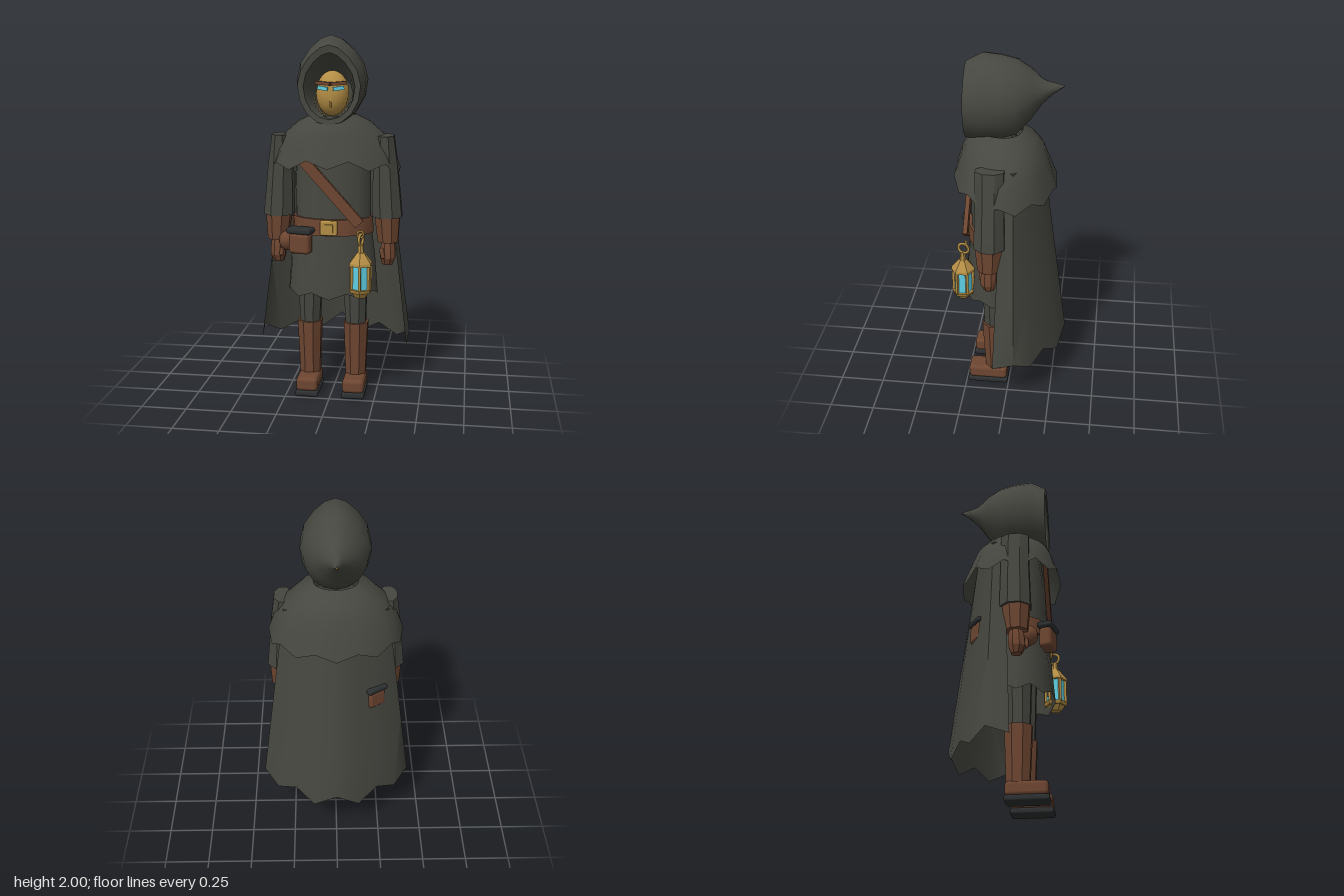
import * as THREE from 'three';
import { toCreasedNormals } from 'three/addons/utils/BufferGeometryUtils.js';
import { RoundedBoxGeometry } from 'three/addons/geometries/RoundedBoxGeometry.js';

const mat = (name, color, side = THREE.FrontSide) => {
  const m = new THREE.MeshStandardMaterial({ color, side });
  m.name = name;
  return m;
};

// Surface through rings of points; rings run top to bottom (or back to front)
function loft(rings, { closed = true, capTop = false, capEnd = false, crease = 0.9 } = {}) {
  const n = rings[0].length, pos = rings.flat(2), idx = [];
  const cols = closed ? n : n - 1;
  for (let r = 0; r < rings.length - 1; r++) {
    for (let i = 0; i < cols; i++) {
      const j = (i + 1) % n;
      const a = r * n + i, b = r * n + j, c = a + n, d = b + n;
      idx.push(a, c, b, b, c, d);
    }
  }
  const cap = (r, flip) => {
    const c = pos.length / 3;
    for (let k = 0; k < 3; k++) pos.push(rings[r].reduce((s, p) => s + p[k], 0) / n);
    for (let i = 0; i < n; i++) {
      const a = r * n + i, b = r * n + (i + 1) % n;
      idx.push(c, flip ? b : a, flip ? a : b);
    }
  };
  if (capTop) cap(0, false);
  if (capEnd) cap(rings.length - 1, true);
  const g = new THREE.BufferGeometry();
  g.setAttribute('position', new THREE.Float32BufferAttribute(pos, 3));
  g.setIndex(idx);
  return toCreasedNormals(g, crease);
}

// Horizontal oval: height, half width, front z, back z, centre x
function oval([y, rx, zf, zb, cx = 0], n, mid = (zf + zb) / 2, lift = () => 0, turn = 0) {
  return Array.from({ length: n }, (_, i) => {
    const a = ((i + turn) / n) * Math.PI * 2, c = Math.cos(a);
    return [cx + rx * Math.sin(a), y + lift(i, c), mid + c * (c > 0 ? zf - mid : mid - zb)];
  });
}

export function createModel() {
  const cloth = mat('charcoal cloth', 0x464740, THREE.DoubleSide);
  const leather = mat('brown leather', 0x6e4631);
  const gold = mat('brass', 0xb48e45);
  const glow = mat('cyan glow', 0x5fcfe4);
  const dark = mat('dark rubber', 0x2d3031);
  const model = new THREE.Group();
  const add = (name, geo, material, p = [0, 0, 0], r = [0, 0, 0], parent = model) => {
    const m = new THREE.Mesh(geo, material);
    m.name = name;
    m.position.set(...p);
    m.rotation.set(...r);
    parent.add(m);
    return m;
  };
  const box = (x, y, z) => new THREE.BoxGeometry(x, y, z);
  const soft = (x, y, z, r = 0.015) => new RoundedBoxGeometry(x, y, z, 2, r);

  // Hood: teardrop rings from the back tip to the rim, then folded inward
  const hoodRows = [
    [-0.275, 0.003, 1.837, 1.828], [-0.215, 0.03, 1.85, 1.785], [-0.165, 0.062, 1.865, 1.735],
    [-0.1, 0.125, 1.925, 1.64], [-0.03, 0.17, 1.97, 1.56], [0.05, 0.188, 1.99, 1.535],
    [0.15, 0.187, 2.0, 1.525], [0.24, 0.168, 1.95, 1.53], [0.235, 0.138, 1.91, 1.56],
    [0.16, 0.122, 1.865, 1.565], [0.02, 0.1, 1.8, 1.58],
  ];
  const teardrop = ([z, w, top, bottom]) => Array.from({ length: 16 }, (_, i) => {
    const a = (i / 16) * Math.PI * 2, c = Math.cos(a);
    return [w * Math.sin(a) * (1 - 0.28 * Math.max(0, c) ** 2),
      (top + bottom) / 2 + (top - bottom) / 2 * c, z];
  });
  add('hood', loft(hoodRows.map(teardrop), { capEnd: true }), cloth);

  // Mask with nose ridge, brow, eyes and a studded chin
  const mask = new THREE.Group();
  mask.name = 'mask';
  mask.position.set(0, 1.69, 0.1);
  model.add(mask);
  add('maskFace', new THREE.SphereGeometry(1, 20, 14).scale(0.09, 0.122, 0.085), gold, [0, 0, 0], [0, 0, 0], mask);
  add('noseRidge', box(0.008, 0.1, 0.02), gold, [0, -0.02, 0.078], [0, 0, 0], mask);
  for (const s of [-1, 1]) {
    add('brow', box(0.086, 0.018, 0.022), leather, [s * 0.041, 0.057, 0.071], [0, s * 0.35, s * 0.06], mask);
    add('eye', box(0.06, 0.02, 0.009), glow, [s * 0.043, 0.031, 0.077], [0, s * 0.38, s * 0.12], mask);
  }
  for (let i = 0; i < 15; i++) {
    const a = (i / 14 - 0.5) * 2.7;
    add('chinStud', new THREE.SphereGeometry(0.006, 6, 4), gold,
      [Math.sin(a) * 0.094, -Math.cos(a) * 0.121, 0.045], [0, 0, 0], mask);
  }

  // Shoulder mantle with a ragged hem, higher at the front
  const mantleRows = [
    [1.575, 0.12, 0.19, -0.06], [1.535, 0.2, 0.24, -0.13], [1.47, 0.275, 0.27, -0.178],
    [1.39, 0.33, 0.293, -0.207], [1.265, 0.368, 0.315, -0.25],
  ];
  add('mantle', loft(mantleRows.map((r, k) => oval(r, 20, 0.03,
    (i, c) => k === 4 ? (c > 0 ? c * 0.065 : 0) + (i % 2 ? 0.02 : -0.025) : 0))), cloth);

  // Long open cloak: one side's hem points and hem heights, mirrored about the back
  const half = [[0.415, 0.065, 0.28], [0.425, -0.055, 0.32], [0.345, -0.145, 0.26],
    [0.235, -0.21, 0.31], [0.13, -0.28, 0.24]];
  const hem = [...half, [0, -0.318, 0.33], ...half.map(([x, z, y]) => [-x, z, y]).reverse()];
  const cloakRings = [0, 0.33, 0.66, 1].map(t => hem.map(([x, z, y]) => [
    x * (0.66 + 0.34 * t), 1.45 + (y - 1.45) * t, z * (0.5 + 0.5 * t) - 0.012 * (1 - t)]));
  add('cloak', loft(cloakRings, { closed: false }), cloth);

  // Tunic
  const tunicRows = [[1.46, 0.19, 0.2, -0.04], [1.25, 0.21, 0.225, -0.05], [1, 0.21, 0.225, -0.05],
    [0.8, 0.235, 0.25, -0.06], [0.59, 0.252, 0.268, -0.07]];
  add('tunic', loft(tunicRows.map((r, k) => oval(r, 16, 0.08,
    i => k === 4 ? (i % 2 ? 0.022 : -0.012) : 0))), cloth);

  // Belt, buckle and chest strap
  add('belt', loft([[1.02, 0.222, 0.24, -0.06], [0.93, 0.226, 0.243, -0.063]].map(r => oval(r, 16, 0.08)),
    { capTop: true, capEnd: true }), leather);
  add('buckle', soft(0.092, 0.08, 0.03, 0.008), gold, [0, 0.978, 0.25]);
  add('bucklePlate', box(0.05, 0.045, 0.008), gold, [0, 0.978, 0.267]);
  add('chestStrap', box(0.058, 0.48, 0.025), leather, [0.005, 1.18, 0.238], [0, 0, 0.73]);

  // Belt pouches: body with a dark flap
  const pouch = (name, p, ry, s) => {
    const g = new THREE.Group();
    g.name = name;
    g.position.set(...p);
    g.rotation.y = ry;
    g.scale.setScalar(s);
    model.add(g);
    add('pouchBody', soft(0.12, 0.115, 0.07, 0.02), leather, [0, 0, 0], [0, 0, 0], g);
    add('pouchFlap', soft(0.142, 0.034, 0.085, 0.014), dark, [0, 0.07, 0], [0, 0, 0], g);
  };
  pouch('frontPouch', [-0.155, 0.89, 0.245], -0.25, 1);
  pouch('rearPouch', [-0.215, 0.92, -0.125], 0.6, 0.9);
  add('sidePouch', new THREE.SphereGeometry(1, 10, 8).scale(0.05, 0.055, 0.05), leather, [-0.245, 0.88, 0.15]);

  // Arms and legs, mirrored
  for (const s of [-1, 1]) {
    const limb = (name, rows, material, n = 8) => add(name,
      loft(rows.map(([y, rx, zf, zb, cx]) => oval([y, rx, zf, zb, s * cx], n, undefined, undefined, 0.5)),
        { capTop: true, capEnd: true, crease: 0.4 }), material);
    limb('sleeve', [[1.465, 0.05, 0.165, 0, 0.288], [1.3, 0.072, 0.165, 0, 0.29],
      [1.02, 0.088, 0.175, -0.005, 0.302]], cloth);
    limb('bracer', [[1.025, 0.074, 0.168, 0.01, 0.303], [0.88, 0.06, 0.155, 0.025, 0.308]], leather);
    limb('hand', [[0.9, 0.03, 0.12, 0.055, 0.308], [0.855, 0.042, 0.135, 0.045, 0.308],
      [0.79, 0.045, 0.14, 0.045, 0.308], [0.75, 0.03, 0.12, 0.06, 0.306]], leather);
    add('thumb', soft(0.024, 0.06, 0.026, 0.01), leather, [s * 0.28, 0.82, 0.137], [0, 0, s * 0.2]);
    limb('trouserLeg', [[0.8, 0.075, 0.16, 0, 0.125], [0.38, 0.06, 0.145, 0.015, 0.13]], cloth);
    limb('bootShaft', [[0.41, 0.073, 0.158, 0, 0.132], [0.25, 0.066, 0.15, 0.005, 0.131],
      [0.08, 0.06, 0.14, 0.01, 0.13]], leather);
    add('bootFoot', soft(0.122, 0.08, 0.225, 0.022), leather, [s * 0.13, 0.068, 0.122]);
    add('sole', soft(0.128, 0.034, 0.235, 0.012), dark, [s * 0.13, 0.017, 0.123]);
  }

  // Hanging lantern
  const lantern = new THREE.Group();
  lantern.name = 'lantern';
  lantern.position.set(0.175, 0, 0.255);
  model.add(lantern);
  const turned = (name, rt, rb, y0, y1, material, n = 6) => add(name,
    toCreasedNormals(new THREE.CylinderGeometry(rt, rb, y1 - y0, n), 0.3), material, [0, (y0 + y1) / 2, 0], [0, 0, 0], lantern);
  turned('lanternFoot', 0.052, 0.03, 0.6, 0.63, gold);
  turned('lanternBase', 0.068, 0.06, 0.63, 0.65, gold);
  turned('lanternGlass', 0.05, 0.05, 0.65, 0.785, glow);
  turned('lanternEave', 0.066, 0.068, 0.78, 0.795, gold);
  turned('lanternRoof', 0.022, 0.066, 0.795, 0.85, gold);
  turned('lanternNeck', 0.014, 0.018, 0.85, 0.895, gold);
  for (let i = 0; i < 6; i++) {
    const a = (i / 6) * Math.PI * 2;
    add('lanternPost', box(0.014, 0.14, 0.014), gold,
      [Math.sin(a) * 0.056, 0.715, Math.cos(a) * 0.056], [0, a, 0], lantern);
  }
  add('lanternRing', new THREE.TorusGeometry(0.03, 0.008, 6, 14), gold, [0, 0.92, -0.005], [0, 1.3, 0], lantern);
  add('lanternHook', new THREE.TorusGeometry(0.018, 0.006, 6, 10), gold, [-0.005, 0.945, -0.02], [0, 0.2, 0], lantern);

  return model;
}
